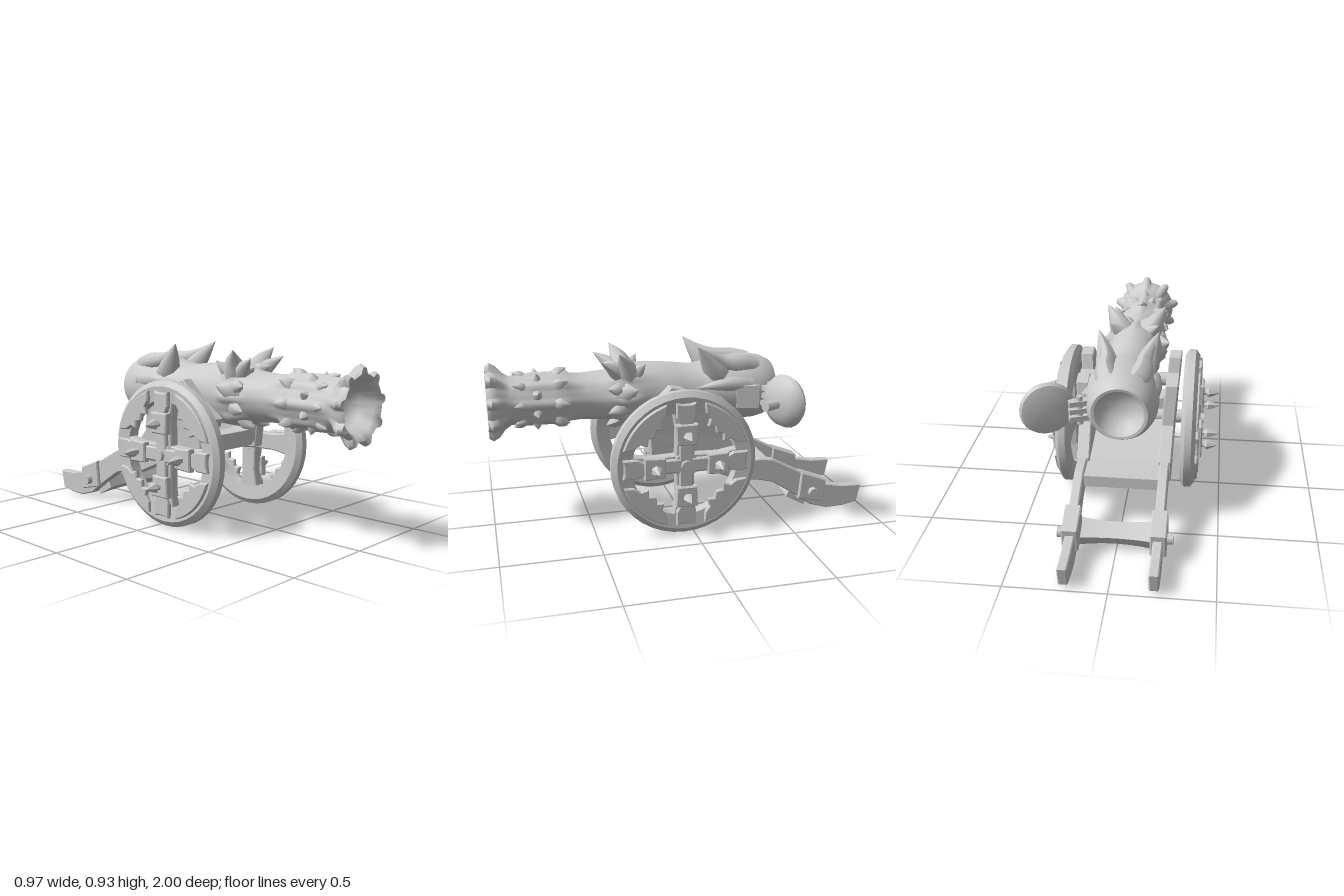
import * as THREE from 'three';
import { toCreasedNormals } from 'three/addons/utils/BufferGeometryUtils.js';

const mat = new THREE.MeshStandardMaterial({ color: 0xcccccc, side: THREE.DoubleSide });
const V = (x, y, z) => new THREE.Vector3(x, y, z);
const AXIS_Y = 0.68; // height of the barrel axis

function add(parent, name, geo, x = 0, y = 0, z = 0) {
  const mesh = new THREE.Mesh(geo, mat);
  mesh.name = name;
  mesh.position.set(x, y, z);
  parent.add(mesh);
  return mesh;
}

const points = pts => pts.map(p => new THREE.Vector2(p[0], p[1]));
const toShape = pts => new THREE.Shape(points(pts));

// Extrudes a (z, y) outline sideways from x0 to x1
function slab(pts, x0, x1, bevel = 0.006) {
  const g = new THREE.ExtrudeGeometry(toShape(pts), {
    depth: x1 - x0 - 2 * bevel, bevelEnabled: true, bevelThickness: bevel,
    bevelSize: bevel, bevelOffset: -bevel, bevelSegments: 1,
  });
  return g.rotateY(-Math.PI / 2).translate(x1 - bevel, 0, 0);
}

// Cylinder lying along x
const rod = (r, len, sides = 12) => new THREE.CylinderGeometry(r, r, len, sides).rotateZ(-Math.PI / 2);

// Tapered curved spike through the given points
function spike(pts, r, sides = 7, steps = 10) {
  const curve = new THREE.CatmullRomCurve3(pts);
  const g = new THREE.TubeGeometry(curve, steps, r, sides);
  const pos = g.attributes.position, p = V(0, 0, 0);
  for (let i = 0; i < pos.count; i++) {
    const t = Math.floor(i / (sides + 1)) / steps;
    const c = curve.getPointAt(t);
    p.fromBufferAttribute(pos, i).sub(c).multiplyScalar(Math.max(0.01, 1 - t ** 1.5)).add(c);
    pos.setXYZ(i, p.x, p.y, p.z);
  }
  g.computeVertexNormals();
  return g;
}

// Skin over elliptical rings: [z, rx, ry, lobe height, lobe count]
function loft(rows, seg = 72) {
  const pos = [], idx = [];
  rows.forEach(([z, rx, ry, amp = 0, n = 1], i) => {
    for (let j = 0; j <= seg; j++) {
      const a = (j / seg) * Math.PI * 2;
      const k = amp * Math.max(0, Math.cos(n * (a - Math.PI / 2))) ** 0.7;
      pos.push((rx + k) * Math.cos(a), (ry + k) * Math.sin(a), z);
      if (i < rows.length - 1 && j < seg) {
        const p = i * (seg + 1) + j, q = p + seg + 1;
        idx.push(p, q, p + 1, p + 1, q, q + 1);
      }
    }
  });
  const g = new THREE.BufferGeometry();
  g.setAttribute('position', new THREE.Float32BufferAttribute(pos, 3));
  g.setIndex(idx);
  return toCreasedNormals(g, 0.9);
}

function makeBarrel() {
  const b = new THREE.Group();
  b.name = 'barrel';
  b.position.y = AXIS_Y;
  add(b, 'barrelBody', loft([
    // rounded front bore and lobed muzzle
    [0.84, 0.001, 0.001], [0.845, 0.05, 0.05], [0.865, 0.09, 0.09], [0.9, 0.112, 0.112], [0.97, 0.13, 0.13],
    [0.99, 0.145, 0.145, 0.015, 9], [0.997, 0.155, 0.155, 0.033, 9], [0.975, 0.165, 0.165, 0.036, 9],
    [0.945, 0.155, 0.155, 0.03, 9], [0.915, 0.138, 0.138, 0.01, 9], [0.88, 0.125, 0.125],
    // knobbly ring and neck
    [0.84, 0.13, 0.13, 0.008, 8], [0.75, 0.128, 0.128, 0.012, 8], [0.67, 0.13, 0.13, 0.01, 8],
    [0.6, 0.132, 0.132, 0.015, 8], [0.575, 0.12, 0.12, 0.008, 8],
    [0.5, 0.12, 0.122], [0.4, 0.13, 0.13], [0.33, 0.152, 0.14, 0.015, 8], [0.27, 0.158, 0.148, 0.02, 8],
    [0.2, 0.14, 0.163], [0.1, 0.142, 0.158], [0.0, 0.142, 0.147], [-0.07, 0.132, 0.138],
    // swollen breech with its open, rounded back
    [-0.13, 0.15, 0.148], [-0.22, 0.165, 0.165], [-0.33, 0.18, 0.177], [-0.41, 0.178, 0.174], [-0.46, 0.165, 0.163],
    [-0.495, 0.15, 0.145], [-0.512, 0.138, 0.135], [-0.51, 0.122, 0.122],
    [-0.46, 0.11, 0.11], [-0.43, 0.085, 0.085], [-0.41, 0.045, 0.045], [-0.405, 0.001, 0.001],
  ]));
  // Rings of thorns
  const ring = (name, n, z, r, h, lean, size, turn = 0) => {
    for (let i = 0; i < n; i++) {
      const a = Math.PI / 2 + ((i + turn) / n) * Math.PI * 2;
      const at = (d, zz) => V(Math.cos(a) * d, Math.sin(a) * d, zz);
      add(b, name, spike([at(r - 0.02, z), at(r + h * 0.4, z + lean * 0.3), at(r + h, z + lean)], size));
    }
  };
  ring('rearThorn', 8, 0.65, 0.12, 0.035, -0.06, 0.04);
  ring('midThorn', 8, 0.75, 0.115, 0.045, 0.0, 0.04, 0.5);
  ring('frontThorn', 8, 0.81, 0.115, 0.03, 0.06, 0.035);
  ring('collarThorn', 8, 0.32, 0.125, 0.04, 0.08, 0.055, 0.5);
  for (const s of [-1, 1]) {
    // Large collar horns with smaller leaves beside them
    add(b, 'collarHorn', spike([V(s * 0.06, 0.09, 0.28), V(s * 0.11, 0.17, 0.3), V(s * 0.16, 0.24, 0.34)], 0.072));
    add(b, 'collarFrontLeaf', spike([V(s * 0.06, 0.09, 0.3), V(s * 0.1, 0.15, 0.36), V(s * 0.13, 0.2, 0.43)], 0.055));
    add(b, 'collarBackLeaf', spike([V(s * 0.06, 0.1, 0.26), V(s * 0.1, 0.14, 0.23), V(s * 0.13, 0.18, 0.2)], 0.05));
    add(b, 'collarSideLeaf', spike([V(s * 0.09, 0.02, 0.32), V(s * 0.145, 0.04, 0.29), V(s * 0.19, 0.06, 0.25)], 0.075));
    // Breech brow rising into a broad horn, with a fold below it
    add(b, 'breechBrow', spike([V(s * 0.065, 0.115, -0.4), V(s * 0.09, 0.14, -0.32), V(s * 0.095, 0.16, -0.22),
      V(s * 0.12, 0.2, -0.14), V(s * 0.155, 0.255, -0.07)], 0.06, 8, 16));
    add(b, 'breechHorn', spike([V(s * 0.09, 0.09, -0.2), V(s * 0.115, 0.165, -0.14), V(s * 0.155, 0.255, -0.07)], 0.065));
    add(b, 'breechFold', spike([V(s * 0.13, 0.04, -0.36), V(s * 0.15, 0.05, -0.22), V(s * 0.125, 0.03, -0.06)], 0.05));
  }
  add(b, 'trunnion', rod(0.035, 0.52), 0, -0.02, -0.045);
  return b;
}

// Breech lid swung open on the left side
function makeLid() {
  const all = new THREE.Group();
  all.name = 'lidAssembly';
  const lid = new THREE.Group();
  lid.name = 'breechLid';
  lid.position.set(0.35, 0.677, -0.485);
  lid.quaternion.setFromUnitVectors(V(0, 1, 0), V(0.4, 0, 0.917).normalize());
  const profile = [[0, -0.018], [0.09, -0.016], [0.128, -0.006], [0.138, 0.012], [0.122, 0.045], [0.08, 0.07], [0, 0.08]];
  add(lid, 'lidDome', toCreasedNormals(new THREE.LatheGeometry(points(profile), 24), 0.8));
  add(lid, 'lidHandle', new THREE.CylinderGeometry(0.026, 0.022, 0.1, 10), 0.008, 0.107, 0);
  all.add(lid);
  add(all, 'hingeBracket', new THREE.BoxGeometry(0.05, 0.12, 0.12), 0.165, 0.665, -0.34).rotation.y = -0.2;
  add(all, 'hingePin', new THREE.CylinderGeometry(0.016, 0.016, 0.15, 8), 0.2, 0.665, -0.45);
  for (const dy of [-0.04, 0, 0.04])
    add(all, 'hingeKnuckle', new THREE.BoxGeometry(0.1, 0.026, 0.045), 0.205, 0.665 + dy, -0.45).rotation.y = 0.4;
  return all;
}

// Wheel centred on the origin, its outer face towards +x
function makeWheel() {
  const w = new THREE.Group();
  w.name = 'wheel';
  const tire = [[0.275, -0.03], [0.35, -0.038], [0.378, -0.018], [0.378, 0.018], [0.35, 0.038], [0.275, 0.03], [0.275, -0.03]];
  add(w, 'rim', toCreasedNormals(new THREE.LatheGeometry(points(tire), 40).rotateZ(-Math.PI / 2), 0.4));
  const spoke = slab([[-0.05, 0], [0.05, 0], [0.045, 0.18], [0.065, 0.3], [-0.065, 0.3], [-0.045, 0.18]], -0.025, 0.03);
  const strap = slab([[-0.035, 0], [0.035, 0], [0.035, 0.22], [0.05, 0.25], [0.05, 0.325], [0.02, 0.318],
    [-0.02, 0.318], [-0.05, 0.325], [-0.05, 0.25], [-0.035, 0.22]], 0.028, 0.056);
  // Toothed leaf hugging the rim between two spokes
  const polar = (deg, r) => [Math.cos(deg * Math.PI / 180) * r, Math.sin(deg * Math.PI / 180) * r];
  const leafPts = [];
  for (let i = 0; i <= 10; i++) leafPts.push(polar(17 + i * 5.6, 0.335));
  [[69, 0.285], [62, 0.265], [60, 0.225], [52, 0.245], [45, 0.222], [38, 0.245], [30, 0.225], [28, 0.265], [21, 0.285]]
    .forEach(p => leafPts.push(polar(...p)));
  const leaf = slab(leafPts, 0.025, 0.052);
  const thorn = new THREE.LatheGeometry(points([[0, 0], [0.02, 0], [0.014, 0.02], [0.028, 0.035], [0.02, 0.06], [0, 0.1]]), 6)
    .rotateZ(-Math.PI / 2);
  for (let i = 0; i < 4; i++) {
    const q = new THREE.Group();
    q.name = 'wheelQuarter';
    q.rotation.x = i * Math.PI / 2;
    add(q, 'spoke', spoke);
    add(q, 'strap', strap);
    add(q, 'rimLeaf', leaf);
    add(q, 'boss', slab([[-0.052, 0.11], [0.052, 0.11], [0.058, 0.218], [-0.058, 0.218]], 0.03, 0.07));
    add(q, 'spike', toCreasedNormals(thorn, 0.5), 0.06, 0.163, 0);
    w.add(q);
  }
  add(w, 'hub', rod(0.065, 0.085, 8), 0.005);
  add(w, 'hubBolt', rod(0.03, 0.05, 8), 0.05);
  return w;
}

function makeCarriage() {
  const c = new THREE.Group();
  c.name = 'carriage';
  const cheek = [[0.31, 0.58], [0.2, 0.66], [0.1, 0.765], [0.03, 0.75], [0, 0.64], [-0.085, 0.64], [-0.1, 0.7], [-0.18, 0.68],
    [-0.21, 0.47], [-0.34, 0.325], [-0.34, 0.215], [-0.28, 0.22], [-0.1, 0.3], [0.08, 0.355], [0.2, 0.37], [0.21, 0.52], [0.29, 0.535]];
  const trail = [[-0.3, 0.325], [-0.4, 0.33], [-0.47, 0.32], [-0.62, 0.24], [-0.76, 0.155], [-0.88, 0.13], [-1, 0.125],
    [-0.98, 0.025], [-0.9, 0.008], [-0.8, 0.005], [-0.7, 0.035], [-0.58, 0.12], [-0.47, 0.19], [-0.38, 0.212], [-0.3, 0.215]];
  const plate = [[-0.635, 0.235], [-0.78, 0.18], [-0.765, 0.052], [-0.62, 0.085]];
  const pair = (pts, x0, x1, s) => (s > 0 ? slab(pts, x0, x1) : slab(pts, -x1, -x0));
  for (const s of [-1, 1]) {
    // Cheeks lean outwards towards the top
    const g = pair(cheek, 0.178, 0.245, s);
    const pos = g.attributes.position;
    for (let i = 0; i < pos.count; i++) pos.setX(i, pos.getX(i) + s * 0.07 * Math.max(0, pos.getY(i) - 0.4));
    g.computeVertexNormals();
    add(c, 'cheek', g);
    add(c, 'trail', pair(trail, 0.188, 0.236, s));
    add(c, 'trailPlate', pair(plate, 0.174, 0.254, s));
    add(c, 'trailBolt', rod(0.028, 0.06, 8), s * 0.255, 0.118, -0.7);
  }
  // Sloping bed between the cheeks
  add(c, 'bed', slab([[0.12, 0.41], [-0.3, 0.31], [-0.47, 0.3], [-0.47, 0.24], [-0.3, 0.24], [0.1, 0.36]], -0.2, 0.2));
  // Front cross piece, dished on top
  const front = [[-0.195, 0.51], [-0.17, 0.48], [-0.1, 0.47], [0.1, 0.47], [0.17, 0.48], [0.195, 0.51],
    [0.195, 0.42], [0.15, 0.385], [-0.15, 0.385], [-0.195, 0.42]];
  add(c, 'frontTransom', new THREE.ExtrudeGeometry(toShape(front), { depth: 0.12, bevelEnabled: false }), 0, 0, 0.08);
  // Rear cross piece, tilted along the trail and thinner in the middle
  const rear = new THREE.BoxGeometry(0.4, 0.08, 0.12, 6, 1, 1);
  const rp = rear.attributes.position;
  for (let i = 0; i < rp.count; i++) {
    const k = 0.75 + 0.25 * (rp.getX(i) / 0.2) ** 2;
    rp.setXYZ(i, rp.getX(i), rp.getY(i) * k, rp.getZ(i) * k);
  }
  add(c, 'rearTransom', toCreasedNormals(rear, 0.4), 0, 0.088, -0.64).rotation.x = -0.5;
  add(c, 'axle', rod(0.036, 0.72), 0, 0.393, 0.05);
  return c;
}

export function createModel() {
  const model = new THREE.Group();
  model.name = 'fieldCannon';
  model.add(makeBarrel(), makeLid(), makeCarriage());
  for (const s of [1, -1]) {
    const w = makeWheel();
    w.name = s > 0 ? 'leftWheel' : 'rightWheel';
    w.position.set(s * 0.325, 0.385, 0.05);
    if (s < 0) w.rotation.y = Math.PI;
    model.add(w);
  }
  // Stand on the ground
  model.position.y = -0.005;
  return model;
}
